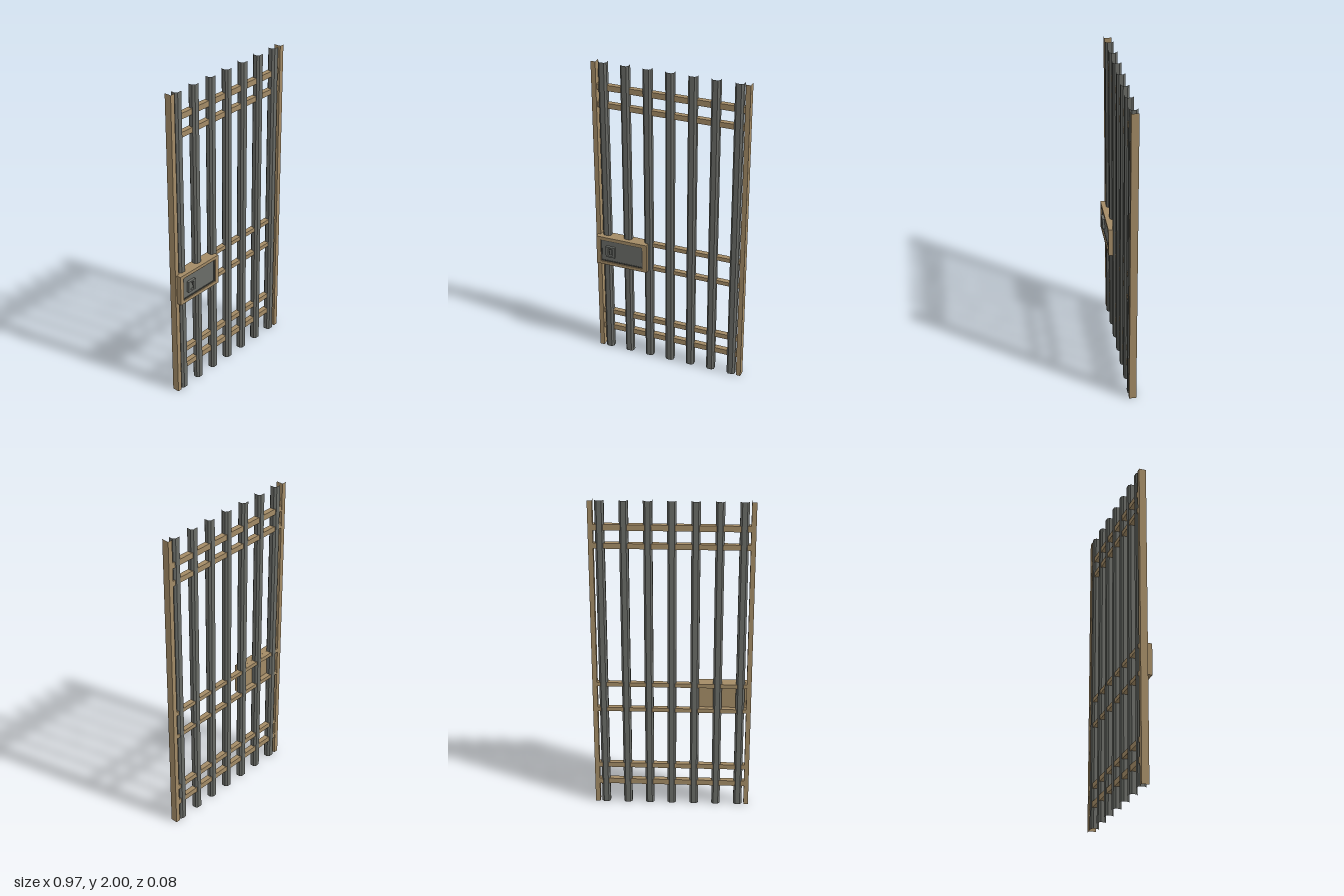
import * as THREE from 'three';

const brass = new THREE.MeshStandardMaterial({ color: 0xa38b66 });
brass.name = 'tan metal';
const steel = new THREE.MeshStandardMaterial({ color: 0x6a6c67 });
steel.name = 'grey steel';
const dark = new THREE.MeshStandardMaterial({ color: 0x484a47 });
dark.name = 'dark steel';

// Rectangle outline with optional cut corners, counter-clockwise
function outline(w, h, cut = 0) {
  const a = w / 2, b = h / 2, c = cut;
  const p = c
    ? [[a, -b + c], [a, b - c], [a - c, b], [-a + c, b], [-a, b - c], [-a, -b + c], [-a + c, -b], [a - c, -b]]
    : [[a, -b], [a, b], [-a, b], [-a, -b]];
  return p.map(([x, y]) => new THREE.Vector2(x, y));
}

// Upright hollow tube without end caps
function openTube(points, height) {
  const pos = [];
  points.forEach((p, i) => {
    const q = points[(i + 1) % points.length];
    const a = [p.x, 0, -p.y], b = [q.x, 0, -q.y];
    const c = [q.x, height, -q.y], d = [p.x, height, -p.y];
    pos.push(...a, ...b, ...c, ...a, ...c, ...d);
  });
  const g = new THREE.BufferGeometry();
  g.setAttribute('position', new THREE.Float32BufferAttribute(pos, 3));
  g.computeVertexNormals();
  return g;
}

// Rectangular ring extruded towards the front
function ring(w, h, holeW, holeH, depth) {
  const shape = new THREE.Shape(outline(w, h));
  shape.holes.push(new THREE.Path(outline(holeW, holeH).reverse()));
  return new THREE.ExtrudeGeometry(shape, { depth, bevelEnabled: false });
}

export function createModel() {
  const group = new THREE.Group();
  group.name = 'barredDoor';
  const add = (name, geo, mat, x, y, z, parent = group) => {
    const m = new THREE.Mesh(geo, mat);
    m.name = name;
    m.position.set(x, y, z);
    parent.add(m);
    return m;
  };

  // Side posts
  const postGeo = openTube(outline(0.029, 0.044), 2);
  add('leftPost', postGeo, brass, 0.4705, 0, -0.017);
  add('rightPost', postGeo, brass, -0.4705, 0, -0.017);

  // Vertical bars
  const barGeo = openTube(outline(0.053, 0.049, 0.012), 2);
  for (let i = 0; i < 7; i++) add('bar', barGeo, steel, (i - 3) * 0.139, 0, -0.0175);

  // Cross rails: centre height and thickness
  const rails = [[1.839, 0.036], [1.726, 0.033], [0.832, 0.026], [0.662, 0.026], [0.268, 0.032], [0.15, 0.036]];
  for (const [y, h] of rails) {
    add('crossRail', new THREE.BoxGeometry(0.946, h, 0.032), brass, 0, y, -0.022);
  }

  // Lock box: back plate, raised frame, recessed panel
  const lock = new THREE.Group();
  lock.name = 'lockBox';
  lock.position.set(-0.306, 0.7475, 0);
  group.add(lock);
  add('lockBack', new THREE.BoxGeometry(0.336, 0.196, 0.026), brass, 0, 0, 0.007, lock);
  add('lockFrame', ring(0.336, 0.196, 0.282, 0.154, 0.015), brass, 0, 0, 0.02, lock);
  add('lockPanel', new THREE.BoxGeometry(0.282, 0.154, 0.006), steel, 0, 0, 0.023, lock);
  add('panelRim', ring(0.282, 0.154, 0.268, 0.14, 0.003), dark, 0, 0, 0.026, lock);

  // Keyhole plate with its slot
  add('keyPlate', ring(0.06, 0.072, 0.026, 0.052, 0.016), steel, -0.074, 0, 0.026, lock);
  add('keySlot', new THREE.BoxGeometry(0.014, 0.04, 0.012), steel, -0.074, 0, 0.032, lock);

  return group;
}
